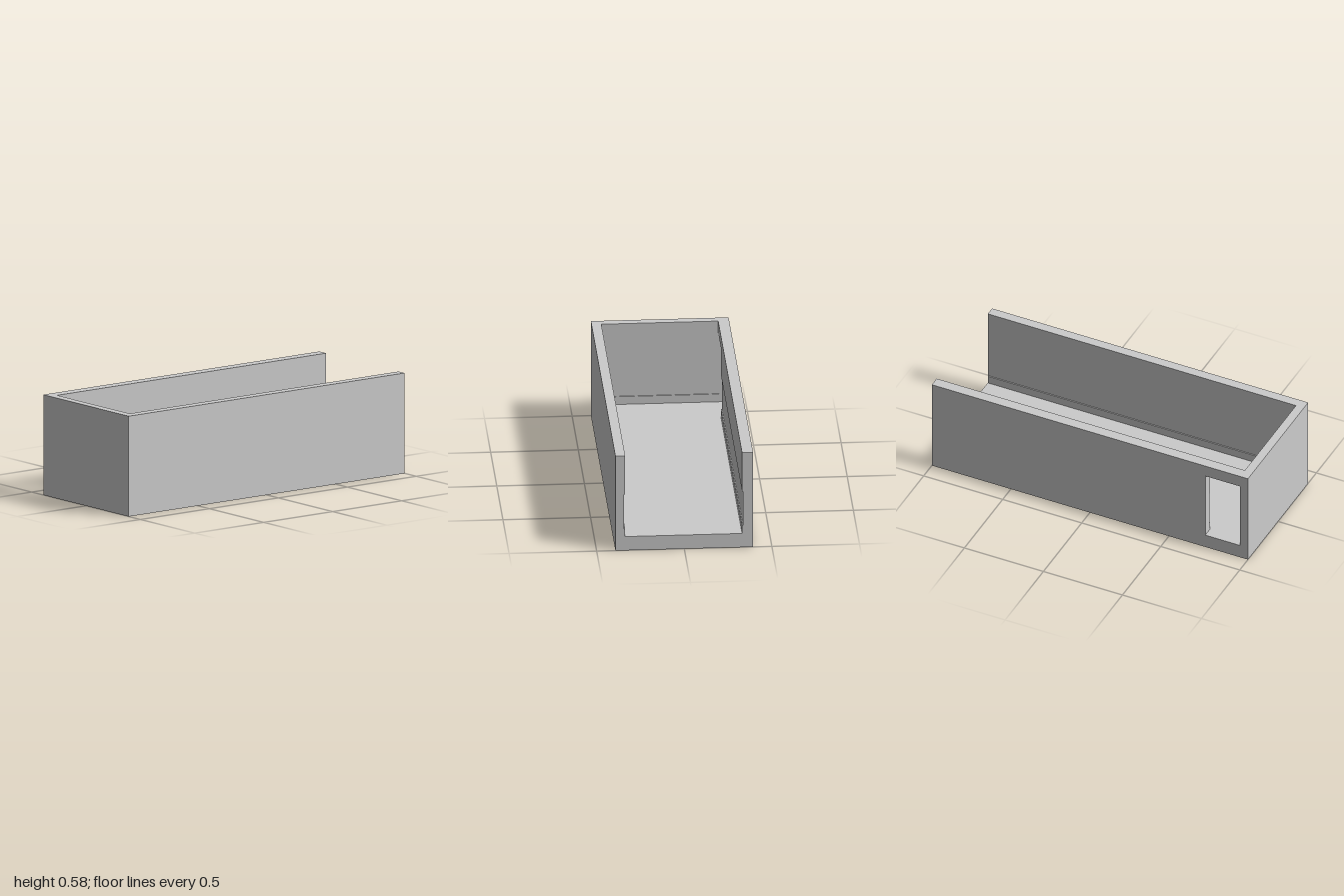
import * as THREE from 'three';

const material = new THREE.MeshStandardMaterial({ color: 0xcccccc, flatShading: true });

// Outer size, inner cavity limits and side opening
const W = 0.393, H = 0.583, FLOOR = 0.085;
const XL = -0.33, XR = 0.337, ZF = 0.95;
const WIN_BACK = 0.73, WIN_TOP = 0.511;
const GROOVE = 0.006, GROOVE_LOW = 0.133, GROOVE_TOP = 0.345;

// Extrudes a plan outline of [x, z] points from height y0 to y1
function slab(name, points, y0, y1) {
  const shape = new THREE.Shape(points.map(([x, z]) => new THREE.Vector2(x, -z)));
  const geometry = new THREE.ExtrudeGeometry(shape, { depth: y1 - y0, bevelEnabled: false });
  geometry.rotateX(-Math.PI / 2).translate(0, y0, 0);
  const mesh = new THREE.Mesh(geometry, material);
  mesh.name = name;
  return mesh;
}

// One height band of the three walls; d is how far its inner face is cut back
function wallBand(name, y0, y1, d, hasWindow) {
  const group = new THREE.Group();
  group.name = name;
  const start = [[-W, 1], [W, 1], [W, -1], [XR + d, -1], [XR + d, ZF + d], [XL - d, ZF + d]];
  if (hasWindow) {
    const jamb = d > 0 ? [[XL - d, ZF], [-W, ZF]] : [[-W, ZF]];
    group.add(slab('frontAndLeftWall', [...start, ...jamb], y0, y1));
    group.add(slab('rightWall', [[-W, -1], [-W, WIN_BACK], [XL - d, WIN_BACK], [XL - d, -1]], y0, y1));
  } else {
    group.add(slab('walls', [...start, [XL - d, -1], [-W, -1]], y0, y1));
  }
  return group;
}

export function createModel() {
  const model = new THREE.Group();
  model.name = 'openTray';
  model.add(slab('floor', [[-W, -1], [-W, 1], [W, 1], [W, -1]], 0, FLOOR));
  // Walls, stacked upward, with a shallow groove around the inside
  model.add(wallBand('lowerWalls', FLOOR, GROOVE_LOW, 0, true));
  model.add(wallBand('groovedWalls', GROOVE_LOW, GROOVE_TOP, GROOVE, true));
  model.add(wallBand('upperWalls', GROOVE_TOP, WIN_TOP, 0, true));
  model.add(wallBand('rimWalls', WIN_TOP, H, 0, false));
  return model;
}
